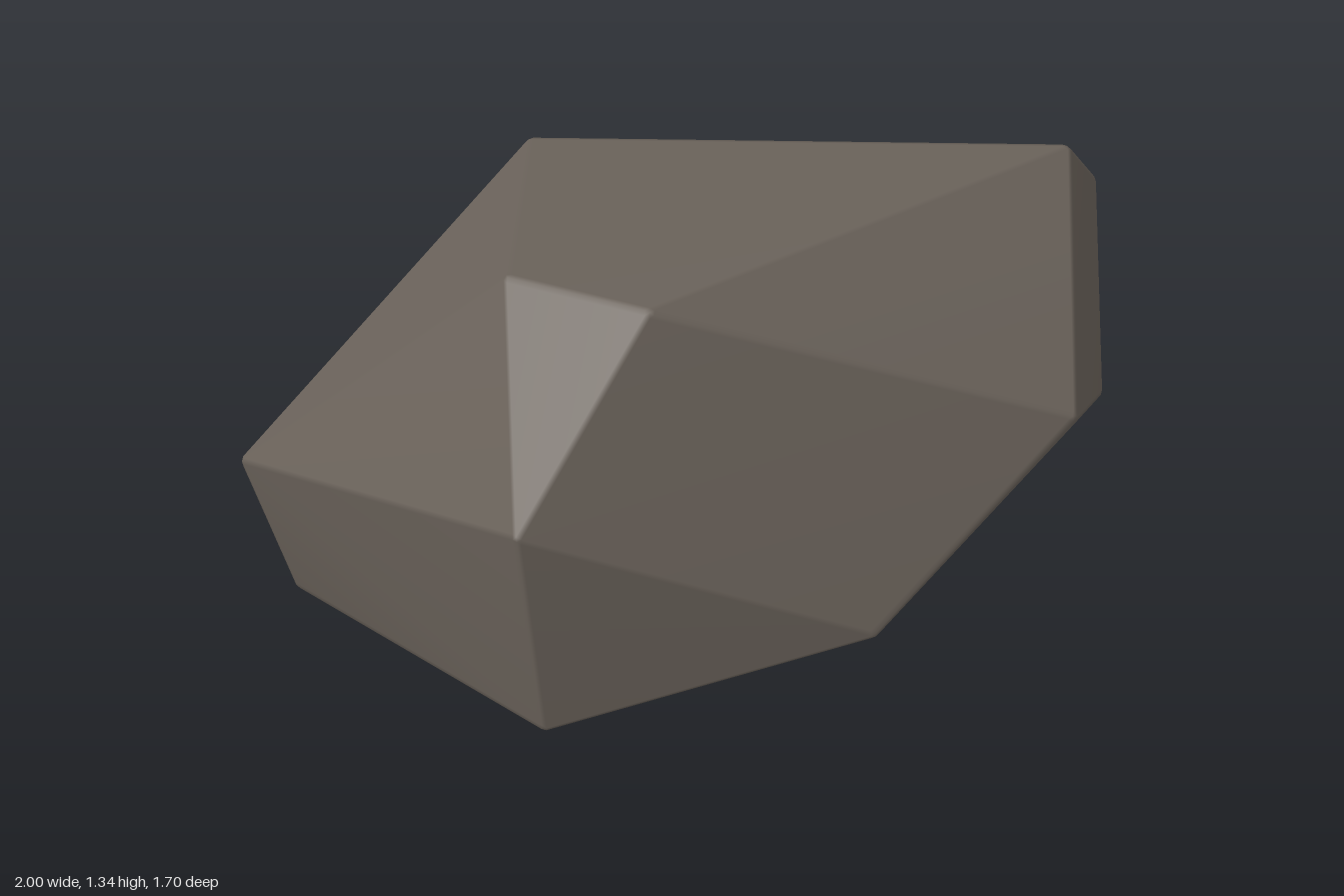
import * as THREE from 'three';
import { ConvexGeometry } from 'three/addons/geometries/ConvexGeometry.js';
import { mergeVertices } from 'three/addons/utils/BufferGeometryUtils.js';

// Corners of the boulder, from top to bottom
const CORNERS = [
  [-0.52, 1.33, 0.44], [-0.70, 1.31, 0.10], [0.82, 1.22, 0.33], [-0.22, 1.20, -0.49],
  [0.99, 0.99, 0.19], [0.41, 0.88, -0.50], [0.47, 0.86, 0.85], [-0.94, 0.85, 0.48],
  [-0.10, 0.67, -0.85], [0.87, 0.52, 0.39], [-1.00, 0.50, -0.59], [-0.11, 0.43, 0.82],
  [0.77, 0.33, -0.28], [-0.86, 0.26, 0.475], [-0.90, 0.15, -0.505], [0.32, 0.06, -0.56],
  [0.51, 0.00, 0.08],
];
const ROUNDING = 0.025;

// Drops the extra attributes so that shared corners can be welded
function weld(geometry) {
  geometry.deleteAttribute('normal');
  geometry.deleteAttribute('uv');
  return mergeVertices(geometry, 1e-5);
}

// Hull around a small ball in every corner: flat facets with softly worn edges
function wornHull(corners, radius) {
  const ball = weld(new THREE.IcosahedronGeometry(radius, 1)).attributes.position;
  const centre = new THREE.Vector3(0, 0.66, 0);
  const points = [];
  for (const corner of corners) {
    const p = new THREE.Vector3(...corner);
    const inward = centre.clone().sub(p).setLength(radius);
    p.add(inward);
    for (let i = 0; i < ball.count; i++) {
      points.push(new THREE.Vector3().fromBufferAttribute(ball, i).add(p));
    }
  }
  const geometry = weld(new ConvexGeometry(points));
  geometry.computeVertexNormals(); // area weighted, so large facets stay flat
  return geometry;
}

export function createModel() {
  const group = new THREE.Group();
  group.name = 'rock';
  const material = new THREE.MeshStandardMaterial({ color: 0x6b635b });
  const boulder = new THREE.Mesh(wornHull(CORNERS, ROUNDING), material);
  boulder.name = 'boulder';
  group.add(boulder);
  return group;
}
